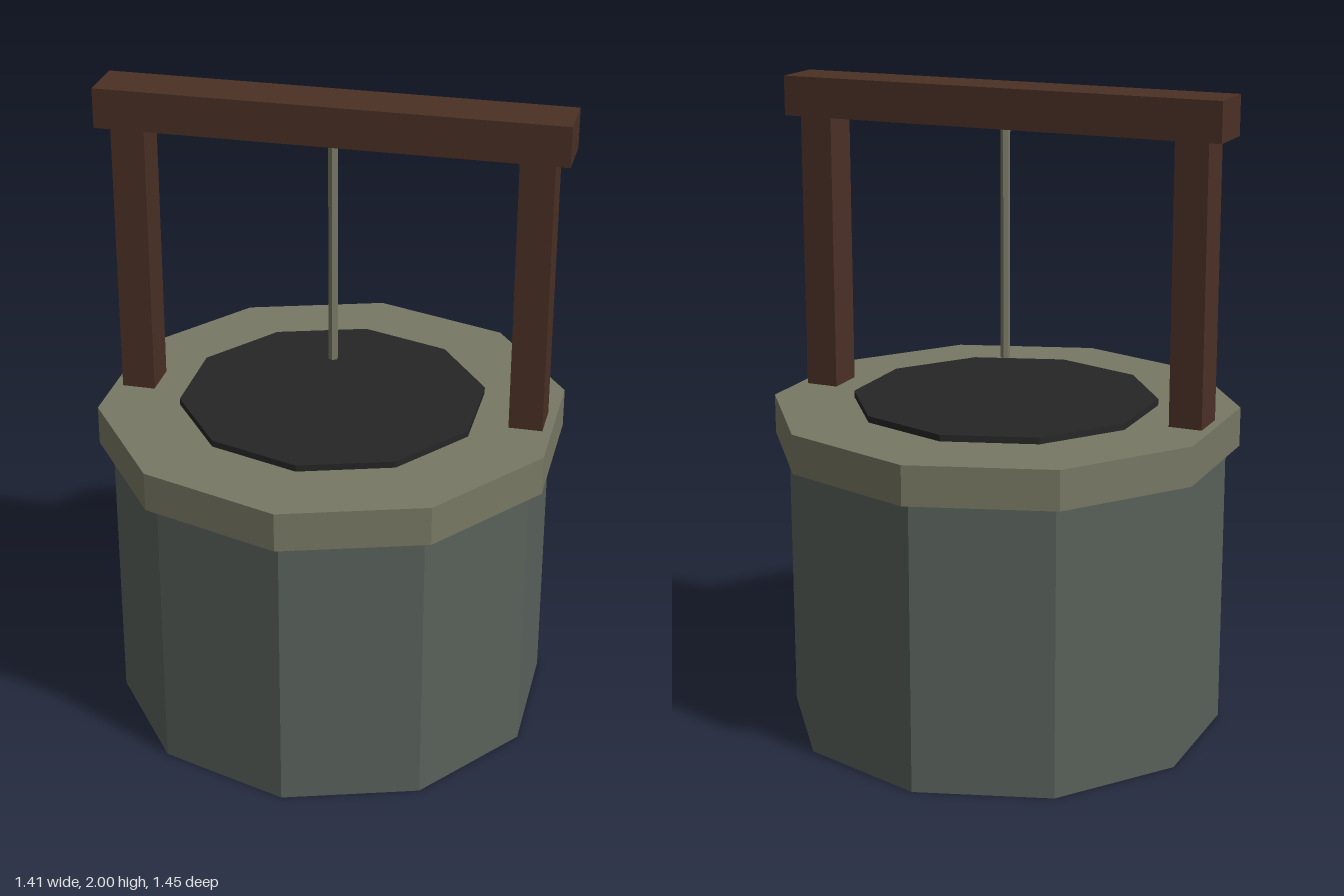
import * as THREE from 'three';

const material = (name, color) => {
  const m = new THREE.MeshStandardMaterial({ color, flatShading: true });
  m.name = name;
  return m;
};

export function createModel() {
  const stone = material('grey green stone', 0x59615a);
  const capStone = material('pale stone', 0x777863);
  const wood = material('dark wood', 0x4a3025);
  const water = material('dark water', 0x262626);

  const model = new THREE.Group();
  model.name = 'well';

  const add = (name, geometry, mat, x, y) => {
    const mesh = new THREE.Mesh(geometry, mat);
    mesh.name = name;
    mesh.position.set(x, y, 0);
    model.add(mesh);
  };
  // Upright prism between two heights
  const prism = (name, radius, bottom, top, sides, mat) =>
    add(name, new THREE.CylinderGeometry(radius, radius, top - bottom, sides), mat, 0, (bottom + top) / 2);

  // Ten-sided well
  prism('wall', 0.683, 0, 0.9, 10, stone);
  prism('rim', 0.725, 0.9, 1.022, 10, capStone);
  prism('waterDisc', 0.473, 1.01, 1.042, 10, water);

  // Timber frame
  for (const side of [-1, 1]) {
    const name = side > 0 ? 'leftPost' : 'rightPost';
    add(name, new THREE.BoxGeometry(0.103, 0.86, 0.124), wood, side * 0.61, 1.45);
  }
  add('crossbeam', new THREE.BoxGeometry(1.412, 0.122, 0.165), wood, 0, 1.939);

  // Hanging rope
  prism('rope', 0.015, 1.163, 1.88, 6, capStone);

  return model;
}
